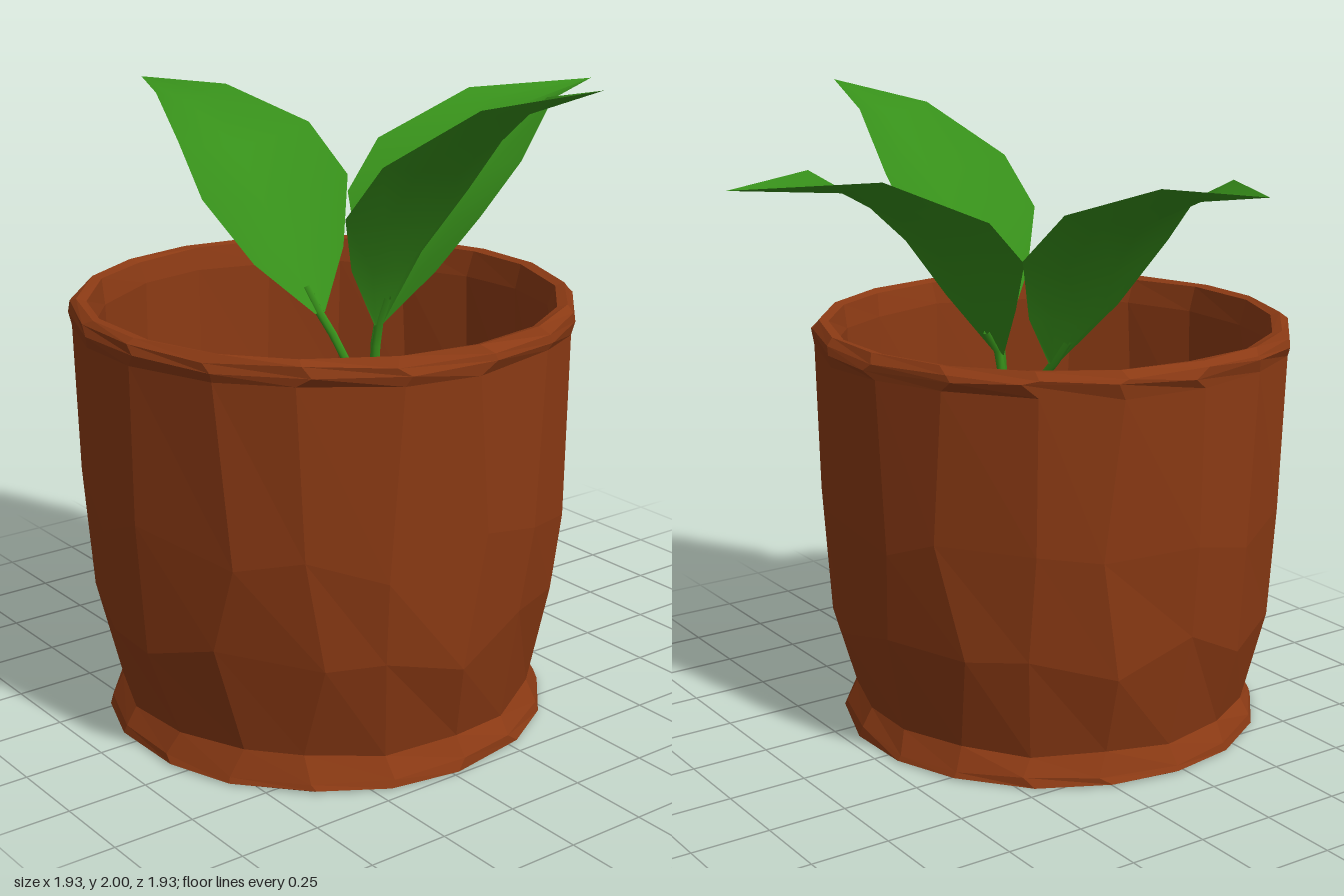
import * as THREE from 'three';

const POT = new THREE.Vector3(-0.215, 0, 0.065);
const SIDES = 18;
const SOIL_Y = 0.84;

const clay = new THREE.MeshStandardMaterial({ color: 0x8b3a14, flatShading: true });
const earth = new THREE.MeshStandardMaterial({ color: 0x3a2214, flatShading: true });
const green = new THREE.MeshStandardMaterial({ color: 0x37901a, side: THREE.DoubleSide });

// Seeded noise in -1..1
function noise(a, b) {
  const n = Math.sin(a * 127.1 + b * 311.7 + 5.3) * 43758.5453;
  return (n - Math.floor(n)) * 2 - 1;
}

function add(parent, name, geometry, material) {
  const mesh = new THREE.Mesh(geometry, material);
  mesh.name = name;
  parent.add(mesh);
  return mesh;
}

// Hand-cut pot: a lathe with each corner nudged around and along the wall.
// Rows: radius, height, nudge around (radians), nudge in height
function potGeometry() {
  const rows = [
    [0, 0.11, 0, 0],
    [0.575, 0.11, 0, 0],        // recessed underside
    [0.665, 0.0, 0.03, 0],
    [0.68, 0.005, 0.03, 0.004],
    [0.672, 0.03, 0.04, 0.01],  // foot ring
    [0.638, 0.09, 0.04, 0.012],
    [0.712, 0.4, 0.07, 0.06],
    [0.74, 0.72, 0.07, 0.06],
    [0.75, 1.235, 0.04, 0.008],
    [0.76, 1.275, 0.05, 0.015], // rim
    [0.755, 1.295, 0.04, 0.01],
    [0.735, 1.315, 0.03, 0],
    [0.705, 1.308, 0.03, 0.003],
    [0.69, 1.23, 0.04, 0.01],   // inner wall
    [0.68, SOIL_Y - 0.02, 0, 0],
  ];
  const geo = new THREE.LatheGeometry(rows.map(r => new THREE.Vector2(r[0], r[1])), SIDES);
  const pos = geo.attributes.position;
  for (let i = 0; i <= SIDES; i++) {
    rows.forEach(([r, y, turn, rise], j) => {
      const k = i % SIDES;
      const a = (k / SIDES) * Math.PI * 2 + noise(k, j) * turn;
      pos.setXYZ(i * rows.length + j, Math.sin(a) * r, y + noise(k + 40, j) * rise, Math.cos(a) * r);
    });
  }
  geo.computeVertexNormals();
  return geo;
}

// Cupped leaf skinned across a midrib. Rows: x, y, z, half width, edge lift
function leafGeometry(rows) {
  const mid = rows.map(r => new THREE.Vector3(r[0], r[1], r[2]));
  const across = [-1, -0.55, 0, 0.55, 1];
  const n = across.length;
  const heading = mid[mid.length - 1].clone().sub(mid[0]).setY(0).normalize();
  const side = new THREE.Vector3().crossVectors(heading, new THREE.Vector3(0, 1, 0));
  const positions = [], index = [];
  rows.forEach(([, , , width, lift], i) => {
    const tangent = mid[Math.min(i + 1, mid.length - 1)].clone().sub(mid[Math.max(i - 1, 0)]).normalize();
    const up = new THREE.Vector3().crossVectors(side, tangent).normalize();
    for (const s of across) {
      const p = mid[i].clone().addScaledVector(side, s * width).addScaledVector(up, lift * Math.abs(s) ** 1.5);
      positions.push(p.x, p.y, p.z);
    }
    if (i === 0) return;
    for (let j = 0; j < n - 1; j++) {
      const a = (i - 1) * n + j, b = a + 1, c = a + n, d = c + 1;
      index.push(a, b, d, a, d, c);
    }
  });
  const geo = new THREE.BufferGeometry();
  geo.setAttribute('position', new THREE.Float32BufferAttribute(positions, 3));
  geo.setIndex(index);
  geo.computeVertexNormals();
  return geo;
}

// Leaf midribs, each with the foot of its stem
const LEAVES = [
  {
    name: 'frontLeaf', foot: [-0.12, 0.19],
    rows: [
      [-0.11, 1.22, 0.20, 0.02, 0], [-0.10, 1.40, 0.27, 0.16, 0.04],
      [-0.085, 1.56, 0.39, 0.28, 0.08], [-0.06, 1.72, 0.50, 0.27, 0.07],
      [-0.01, 1.90, 0.70, 0.15, 0.04], [0.05, 2.00, 0.96, 0, 0],
    ],
  },
  {
    name: 'backLeaf', foot: [-0.10, 0.07],
    rows: [
      [-0.13, 1.20, -0.07, 0.02, 0], [-0.16, 1.35, -0.17, 0.18, 0.04],
      [-0.18, 1.52, -0.30, 0.29, 0.09], [-0.19, 1.67, -0.42, 0.26, 0.07],
      [-0.20, 1.78, -0.68, 0.14, 0.05], [-0.20, 1.83, -0.97, 0, 0],
    ],
  },
  {
    name: 'leftLeaf', foot: [-0.07, 0.12],
    rows: [
      [-0.06, 1.20, 0.13, 0.02, 0], [0.04, 1.36, 0.12, 0.16, 0.03],
      [0.14, 1.50, 0.10, 0.27, 0.07], [0.28, 1.64, 0.075, 0.29, 0.06],
      [0.56, 1.78, 0.025, 0.17, 0.05], [0.96, 1.83, -0.04, 0, 0],
    ],
  },
];

export function createModel() {
  const model = new THREE.Group();
  model.name = 'pottedPlant';

  add(model, 'pot', potGeometry(), clay).position.copy(POT);

  const soil = add(model, 'soil', new THREE.CircleGeometry(0.682, SIDES).rotateX(-Math.PI / 2), earth);
  soil.position.set(POT.x, SOIL_Y, POT.z);

  for (const { name, foot, rows } of LEAVES) {
    const plant = new THREE.Group();
    plant.name = name;
    add(plant, 'blade', leafGeometry(rows), green);
    // Stem runs from the soil into the base of the blade
    const base = new THREE.Vector3(...rows[0].slice(0, 3));
    const next = new THREE.Vector3(...rows[1].slice(0, 3));
    const path = new THREE.CatmullRomCurve3([
      new THREE.Vector3(foot[0], SOIL_Y - 0.02, foot[1]),
      new THREE.Vector3(foot[0], 1.02, foot[1]).lerp(base, 0.25),
      base,
      base.clone().lerp(next, 0.5),
    ]);
    add(plant, 'stem', new THREE.TubeGeometry(path, 6, 0.014, 5), green);
    model.add(plant);
  }
  return model;
}
